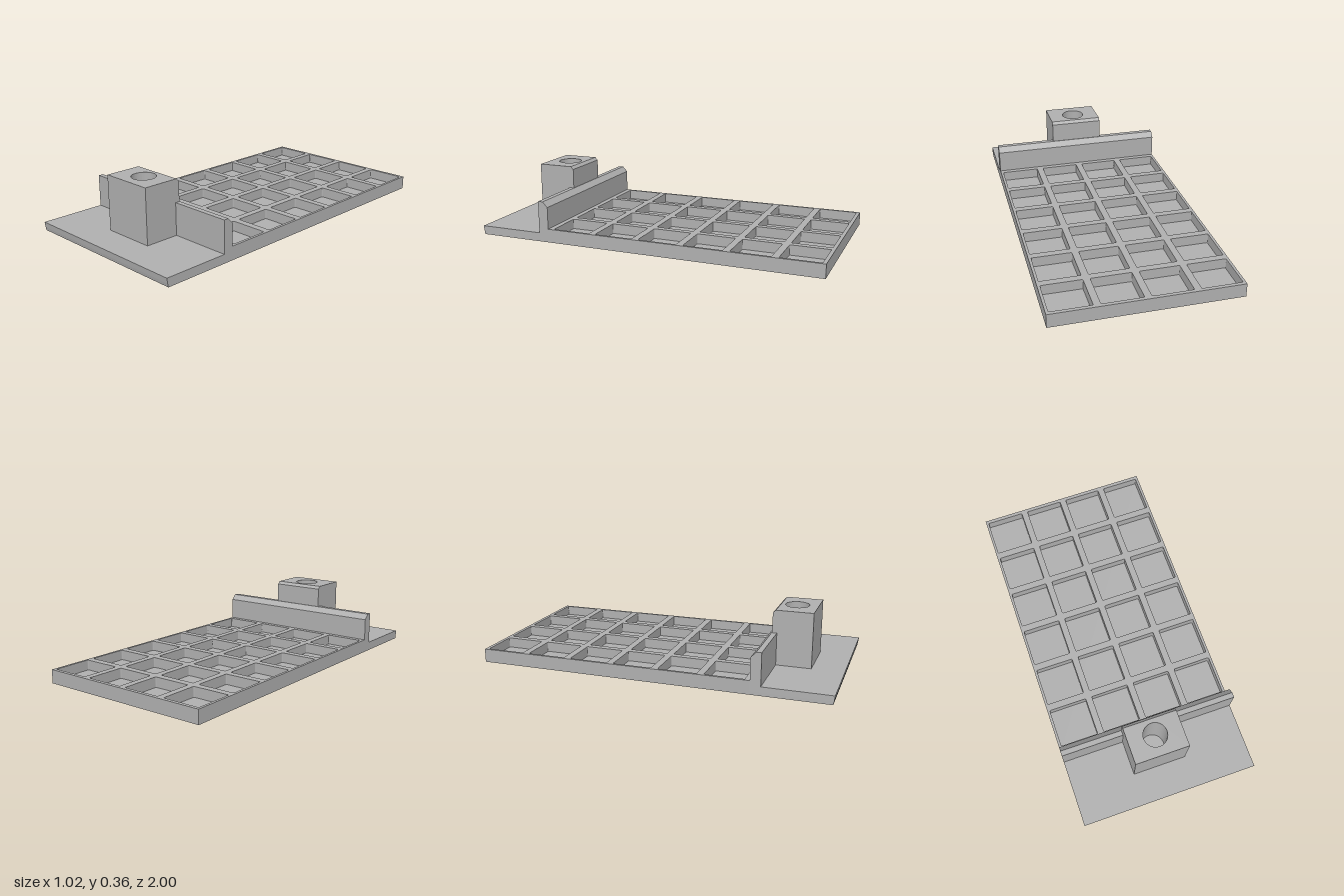
import * as THREE from 'three';

const HALF_W = 0.512;

// Extrude a side profile of [z, y] points across the width, centred on x = 0
function acrossX(points, width) {
  const shape = new THREE.Shape(points.map(([z, y]) => new THREE.Vector2(z, y)));
  const geo = new THREE.ExtrudeGeometry(shape, { depth: width, bevelEnabled: false });
  return geo.translate(0, 0, -width / 2).rotateY(-Math.PI / 2);
}

// Extrude a plan shape (drawn as x, -z) upward from y0 to y1
function upward(shape, y0, y1) {
  const geo = new THREE.ExtrudeGeometry(shape, { depth: y1 - y0, bevelEnabled: false, curveSegments: 24 });
  return geo.rotateX(-Math.PI / 2).translate(0, y0, 0);
}

function rectangle(x0, x1, z0, z1) {
  return new THREE.Shape([[x0, -z1], [x1, -z1], [x1, -z0], [x0, -z0]].map(([x, y]) => new THREE.Vector2(x, y)));
}

// Square pocket outline with tiny rounded corners
function pocketOutline(cx, cz, half, r) {
  const p = new THREE.Path();
  const corners = [[1, 1], [-1, 1], [-1, -1], [1, -1]];
  corners.forEach(([sx, sy], i) => {
    const start = i * Math.PI / 2;
    p.absarc(cx + sx * (half - r), -cz + sy * (half - r), r, start, start + Math.PI / 2, false);
  });
  p.closePath();
  return p;
}

export function createModel() {
  const model = new THREE.Group();
  const grey = new THREE.MeshStandardMaterial({ color: 0xb0b0b0 });
  grey.name = 'grey';
  const add = (name, geo) => {
    const mesh = new THREE.Mesh(geo, grey);
    mesh.name = name;
    model.add(mesh);
  };

  // Floor, front ledge and chamfered cross wall share one profile
  add('baseAndWall', acrossX([
    [-1, 0], [0.992, 0], [0.996, 0.02], [1, 0.05], [0.623, 0.05], [0.623, 0.233],
    [0.594, 0.233], [0.565, 0.203], [0.565, 0.02], [-1, 0.02],
  ], HALF_W * 2));

  // Tray grid: 4 columns by 6 rows of square pockets
  const tray = rectangle(-HALF_W, HALF_W, -1, 0.565);
  for (let col = 0; col < 4; col++) {
    for (let row = 0; row < 6; row++) {
      tray.holes.push(pocketOutline((col - 1.5) * 0.258, -0.87 + row * 0.259, 0.11, 0.006));
    }
  }
  add('pocketGrid', upward(tray, 0.02, 0.077));

  // Mounting block with a round socket
  const block = rectangle(-0.155, 0.155, 0.613, 0.82);
  block.holes.push(new THREE.Path().absarc(0, -0.703, 0.067, 0, Math.PI * 2, true));
  const blockGeo = upward(block, 0.05, 0.362);
  add('socketBlock', blockGeo);

  // Chamfered rear edge of the block
  add('blockRearEdge', acrossX([
    [0.597, 0.05], [0.613, 0.05], [0.613, 0.362], [0.597, 0.346],
  ], 0.31));

  return model;
}
